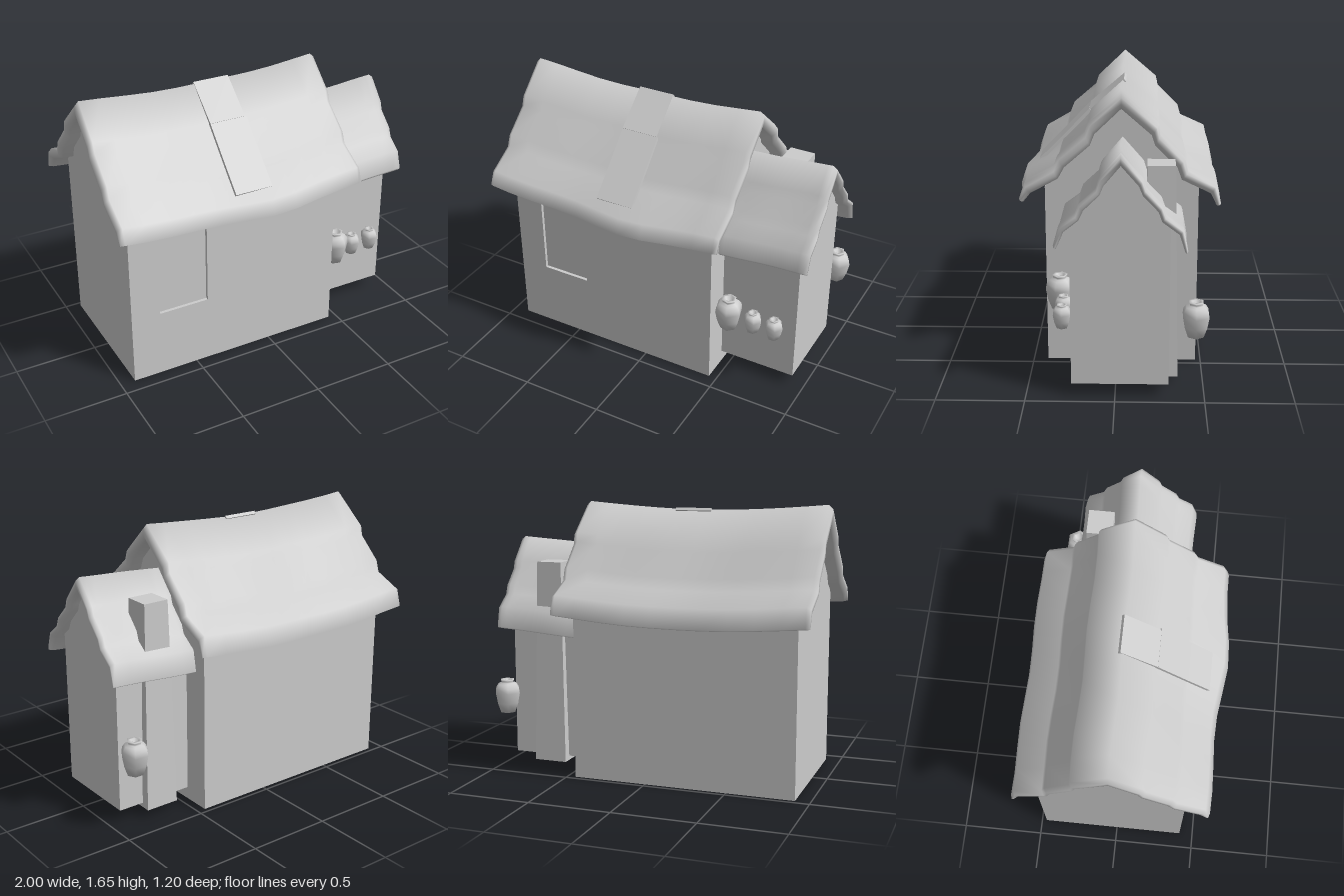
import * as THREE from 'three';

const mat = new THREE.MeshStandardMaterial({ color: 0xcccccc, side: THREE.DoubleSide });

function add(parent, geometry, name, x = 0, y = 0, z = 0) {
  const mesh = new THREE.Mesh(geometry, mat);
  mesh.name = name;
  mesh.position.set(x, y, z);
  parent.add(mesh);
  return mesh;
}

const shapeOf = (pts) => new THREE.Shape(pts.map(([a, b]) => new THREE.Vector2(a, b)));
const rect = (x0, x1, y0, y1) => [[x0, y0], [x1, y0], [x1, y1], [x0, y1]];

// Gable wall in the z/y plane, facing +x (side = 1) or -x (side = -1)
function gable(parent, name, x, side, b) {
  const s = shapeOf([[b.z0, b.y0], [b.z1, b.y0], [b.z1, b.eave], [b.ridgeZ, b.ridge], [b.z0, b.eave]]
    .map(([z, y]) => [-side * z, y]));
  add(parent, new THREE.ShapeGeometry(s), name, x).rotation.y = side * Math.PI / 2;
}

// Long wall in the x/y plane, with an optional opening
function longWall(parent, name, z, facing, b, hole) {
  const s = shapeOf(rect(b.x0, b.x1, b.y0, b.eave));
  if (hole) s.holes.push(new THREE.Path(shapeOf(hole).getPoints()));
  const g = new THREE.ShapeGeometry(s);
  if (facing < 0) g.rotateY(Math.PI).translate(b.x0 + b.x1, 0, 0);
  add(parent, g, name, 0, 0, z);
}

// Thick wavy roof: outer and inner profiles [z, y] run from front eave to back eave;
// warp(x, z, y) bends each cross-section, and the end sections are drawn in as a soft edge
function roof(outer, inner, x0, x1, warp) {
  const n = outer.length, loop = [...outer, ...[...inner].reverse()], m = loop.length;
  const xs = [x0, x0 + 0.025];
  for (let i = 1; i < 10; i++) xs.push(x0 + (x1 - x0) * i / 10);
  xs.push(x1 - 0.025, x1);
  const pos = [], idx = [];
  xs.forEach((x, i) => {
    const pull = i === 0 || i === xs.length - 1 ? 0.3 : 0;
    loop.forEach(([z, y], j) => {
      const [oz, oy] = loop[m - 1 - j];
      const [wz, wy] = warp(x, z + (oz - z) * pull, y + (oy - y) * pull);
      pos.push(x, wy, wz);
    });
  });
  for (let i = 0; i < xs.length - 1; i++) {
    for (let j = 0; j < m; j++) {
      const a = i * m + j, b = i * m + (j + 1) % m, c = b + m, d = a + m;
      idx.push(a, d, c, a, c, b);
    }
  }
  const end = (xs.length - 1) * m;
  for (let k = 0; k < n - 1; k++) {
    const o = k, p = k + 1, q = m - 2 - k, r = m - 1 - k;
    idx.push(end + o, end + r, end + q, end + o, end + q, end + p);
    idx.push(o, q, r, o, p, q);
  }
  const g = new THREE.BufferGeometry();
  g.setAttribute('position', new THREE.Float32BufferAttribute(pos, 3));
  g.setIndex(idx);
  g.computeVertexNormals();
  return g;
}

export function createModel() {
  const group = new THREE.Group();
  group.name = 'cottage';

  // Main house: open-bottomed shell with a recessed window
  const house = new THREE.Group();
  house.name = 'mainHouse';
  group.add(house);
  const b = { x0: -0.91, x1: 0.45, y0: 0, z0: -0.47, z1: 0.415, eave: 1.08, ridge: 1.57, ridgeZ: -0.02 };
  const win = rect(-0.73, -0.42, 0.42, 1.04);
  longWall(house, 'frontWall', b.z1, 1, b, win);
  longWall(house, 'backWall', b.z0, -1, b);
  gable(house, 'leftGable', b.x1, 1, b);
  gable(house, 'rightGable', b.x0, -1, b);
  add(house, new THREE.ShapeGeometry(shapeOf(win)), 'windowPanel', 0, 0, b.z1 - 0.02);
  const reveal = [[-0.73, 0.73, 0.62, 1], [-0.42, 0.73, 0.62, 1], [-0.575, 0.42, 0.31, 0], [-0.575, 1.04, 0.31, 0]];
  for (const [x, y, len, upright] of reveal) {
    const g = new THREE.PlaneGeometry(upright ? 0.02 : len, upright ? len : 0.02);
    if (upright) g.rotateY(Math.PI / 2); else g.rotateX(-Math.PI / 2);
    add(house, g, 'windowReveal', x, y, b.z1 - 0.01);
  }

  // Main roof: three stepped courses each side, sagging along the ridge
  const outer = [[0.55, 1.03], [0.52, 1.12], [0.36, 1.215], [0.335, 1.285], [0.185, 1.415], [0.165, 1.475],
    [-0.02, 1.648], [-0.235, 1.47], [-0.245, 1.41], [-0.39, 1.27], [-0.41, 1.2], [-0.575, 1.125], [-0.6, 1.01]];
  const inner = [[0.525, 1.015], [0.485, 1.065], [0.335, 1.15], [0.3, 1.215], [0.155, 1.345], [0.13, 1.41],
    [-0.02, 1.555], [-0.195, 1.405], [-0.215, 1.345], [-0.345, 1.22], [-0.37, 1.15], [-0.54, 1.07], [-0.575, 1.0]];
  add(group, roof(outer, inner, -1, 0.545, (x, z, y) => {
    const sag = 0.043 * Math.sin(Math.PI * (x + 1) / 1.545);
    const bulge = z > 0.4 ? 0.045 * Math.exp(-(((x - 0.02) / 0.28) ** 2)) : 0;
    return [z + bulge + 0.006 * Math.sin(9 * x + 5 * z), y - sag];
  }), 'mainRoof');

  // Strip of three boards laid down the front slope
  const strip = [[-0.03, 1.615], [0.18, 1.435], [0.36, 1.25], [0.49, 1.12]];
  for (let i = 0; i < 3; i++) {
    const [za, ya] = strip[i], [zb, yb] = strip[i + 1];
    const board = add(group, new THREE.BoxGeometry(i ? 0.235 : 0.225, 0.02, Math.hypot(zb - za, yb - ya)),
      'roofBoard', i ? -0.15 : -0.155, (ya + yb) / 2 - 0.007, (za + zb) / 2 - 0.007);
    board.rotation.x = Math.atan2(ya - yb, zb - za);
  }

  // Annex: smaller open-bottomed shell against the left gable
  const annex = new THREE.Group();
  annex.name = 'annex';
  group.add(annex);
  const a = { x0: 0.45, x1: 0.93, y0: 0.075, z0: -0.3, z1: 0.245, eave: 1.0, ridge: 1.35, ridgeZ: -0.03 };
  longWall(annex, 'annexFrontWall', a.z1, 1, a);
  longWall(annex, 'annexBackWall', a.z0, -1, a);
  gable(annex, 'annexGable', a.x1, 1, a);
  const annexOuter = [[0.325, 0.91], [0.295, 1.02], [0.21, 1.085], [0.19, 1.14], [0.1, 1.225], [0.085, 1.28],
    [-0.03, 1.418], [-0.15, 1.28], [-0.165, 1.23], [-0.255, 1.135], [-0.275, 1.08], [-0.37, 1.01], [-0.393, 0.885]];
  const annexInner = [[0.31, 0.89], [0.27, 0.985], [0.19, 1.05], [0.165, 1.105], [0.08, 1.19], [0.06, 1.24],
    [-0.03, 1.35], [-0.125, 1.24], [-0.145, 1.19], [-0.23, 1.1], [-0.25, 1.045], [-0.345, 0.975], [-0.378, 0.875]];
  add(annex, roof(annexOuter, annexInner, 0.42, 1, (x, z, y) =>
    [z + 0.004 * Math.sin(12 * x + 6 * z), y - 0.07 * (1 - x)]), 'annexRoof');

  // Tapered chimney behind the annex: closed top, open base
  const chimney = new THREE.CylinderGeometry(Math.SQRT1_2, Math.SQRT1_2, 1.24, 4, 1, true).toNonIndexed();
  chimney.rotateY(Math.PI / 4);
  const p = chimney.attributes.position;
  for (let i = 0; i < p.count; i++) {
    const top = p.getY(i) > 0;
    p.setX(i, p.getX(i) * (top ? 0.155 : 0.205));
    p.setZ(i, p.getZ(i) * (top ? 0.155 : 0.207));
  }
  chimney.computeVertexNormals();
  add(annex, chimney, 'chimney', 0.672, 0.668, -0.251);
  add(annex, new THREE.PlaneGeometry(0.155, 0.155).rotateX(-Math.PI / 2), 'chimneyTop', 0.672, 1.288, -0.251);

  // Six-sided jars around the annex: [x, z, scale, turn]
  const profile = [[0, 0], [0.05, 0], [0.072, 0.06], [0.085, 0.125], [0.08, 0.155], [0.062, 0.18], [0.042, 0.187],
    [0.04, 0.197], [0.046, 0.208], [0.026, 0.208], [0.022, 0.185], [0, 0.185]];
  const jar = new THREE.LatheGeometry(profile.map(([r, y]) => new THREE.Vector2(r, y)), 6);
  const jars = [[0.53, 0.33, 1, 0.26], [0.675, 0.3, 0.66, 0.52], [0.812, 0.3, 0.66, 0.52], [0.912, -0.445, 0.98, 0.52]];
  for (const [x, z, s, turn] of jars) {
    const mesh = add(group, jar, 'jar', x, 0.365, z);
    mesh.scale.setScalar(s);
    mesh.rotation.y = turn;
  }
  return group;
}
